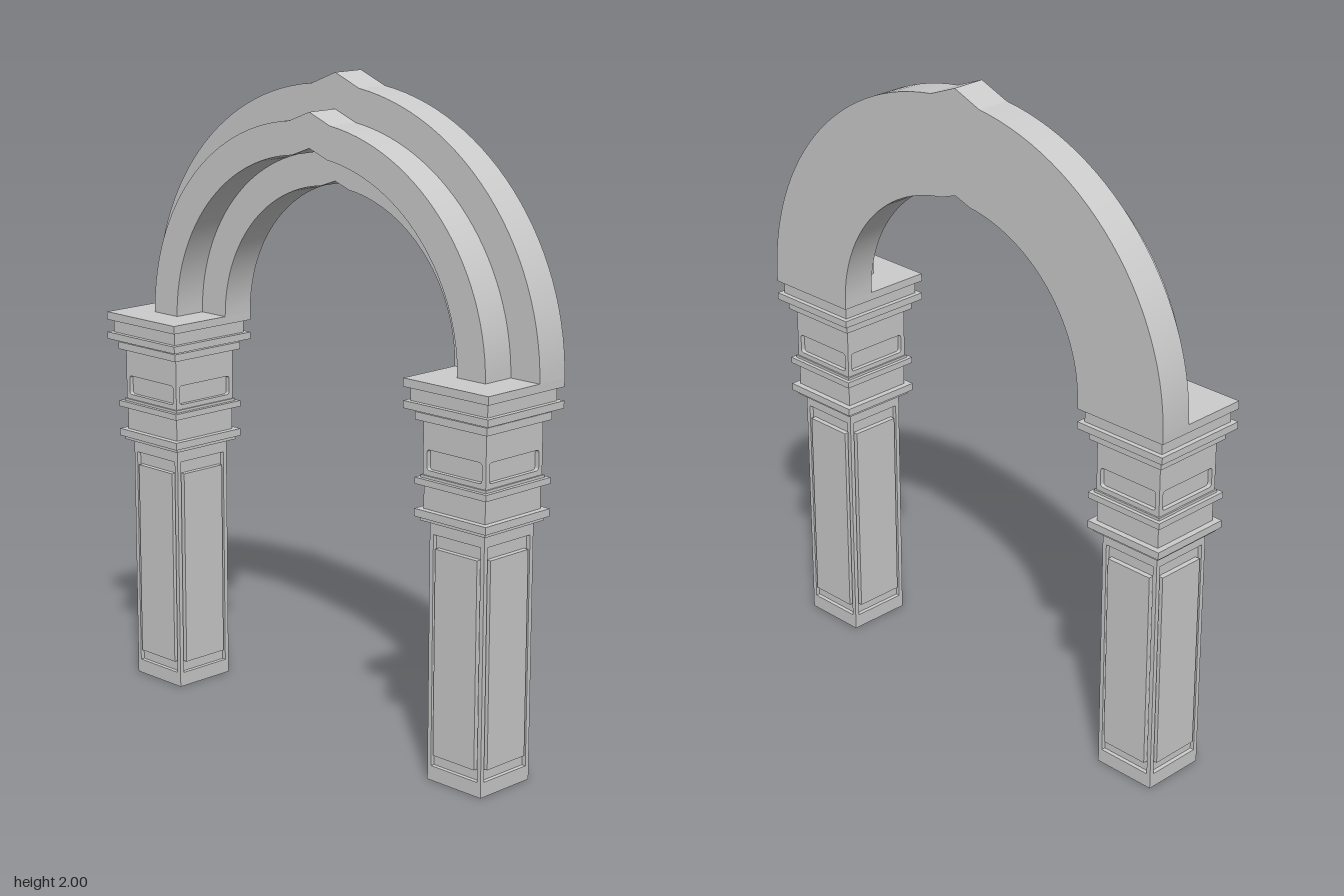
import * as THREE from 'three';
import { toCreasedNormals } from 'three/addons/utils/BufferGeometryUtils.js';

const material = new THREE.MeshStandardMaterial({ color: 0xcccccc });
const SPRING = 1.2; // height where the arch meets the capitals

function add(parent, name, geometry) {
  const mesh = new THREE.Mesh(geometry, material);
  mesh.name = name;
  parent.add(mesh);
  return mesh;
}

// Square block of half-width h between two heights
function block(parent, name, h, y0, y1) {
  add(parent, name, new THREE.BoxGeometry(2 * h, y1 - y0, 2 * h)).position.y = (y0 + y1) / 2;
}

// Closed rectangle, optionally with cut-off rounded corners
function rect(path, w, y0, y1, r = 0) {
  path.moveTo(-w + r, y0);
  path.lineTo(w - r, y0);
  if (r) path.quadraticCurveTo(w, y0, w, y0 + r);
  path.lineTo(w, y1 - r);
  if (r) path.quadraticCurveTo(w, y1, w - r, y1);
  path.lineTo(-w + r, y1);
  if (r) path.quadraticCurveTo(-w, y1, -w, y1 - r);
  path.lineTo(-w, y0 + r);
  if (r) path.quadraticCurveTo(-w, y0, -w + r, y0);
  return path;
}

// Square section whose four faces each carry a sunken window
function framedSection(parent, name, h, depth, y0, y1, hole) {
  block(parent, name + 'Core', h - depth, y0, y1);
  for (let i = 0; i < 4; i++) {
    const w = i % 2 ? h - depth : h;
    const shape = rect(new THREE.Shape(), w, y0, y1);
    shape.holes.push(rect(new THREE.Path(), ...hole));
    const geo = new THREE.ExtrudeGeometry(shape, { depth, bevelEnabled: false, curveSegments: 4 });
    geo.translate(0, 0, h - depth);
    geo.rotateY(i * Math.PI / 2);
    add(parent, name + 'Frame', geo);
  }
}

function createPillar(name) {
  const pillar = new THREE.Group();
  pillar.name = name;

  // Shaft with a raised panel inside each sunken frame
  framedSection(pillar, 'shaft', 0.104, 0.013, 0, 0.785, [0.09, 0.045, 0.745]);
  for (let i = 0; i < 4; i++) {
    const geo = new THREE.BoxGeometry(0.16, 0.625, 0.03);
    geo.translate(0, 0.3925, 0.092);
    geo.rotateY(i * Math.PI / 2);
    add(pillar, 'shaftPanel', geo);
  }

  // Stepped mouldings: half-width, bottom, top
  const steps = [
    ['lowerMoulding', 0.124, 0.785, 0.797],
    ['lowerMoulding', 0.136, 0.797, 0.82],
    ['neck', 0.117, 0.82, 0.893],
    ['middleMoulding', 0.136, 0.893, 0.912],
    ['middleMoulding', 0.124, 0.912, 0.92],
    ['upperMoulding', 0.136, 1.08, 1.103],
    ['upperMoulding', 0.125, 1.103, 1.113],
    ['capitalLedge', 0.16, 1.113, 1.135],
    ['capitalNeck', 0.145, 1.135, 1.175],
    ['capitalTop', 0.16, 1.175, SPRING],
  ];
  for (const step of steps) block(pillar, ...step);

  // Upper block with small sunken windows
  framedSection(pillar, 'upperBlock', 0.119, 0.014, 0.92, 1.08, [0.104, 0.935, 0.995, 0.01]);
  return pillar;
}

// Half ellipse that kicks up to a point at the crown, from +x to -x
function archCurve(a) {
  const right = [];
  const n = 28;
  for (let i = 0; i <= n; i++) {
    const t = (i / n) * THREE.MathUtils.degToRad(83);
    right.push(new THREE.Vector2(a * Math.cos(t), SPRING + a * 0.95 * Math.sin(t)));
  }
  const left = right.map((p) => new THREE.Vector2(-p.x, p.y)).reverse();
  return [...right, new THREE.Vector2(0, SPRING + a - 0.007), ...left];
}

function archBand(parent, name, outer, inner, z0, z1) {
  const shape = new THREE.Shape([...archCurve(outer), ...archCurve(inner).reverse()]);
  const geo = new THREE.ExtrudeGeometry(shape, { depth: z1 - z0, bevelEnabled: false });
  geo.translate(0, 0, z0);
  add(parent, name, toCreasedNormals(geo, 0.2));
}

export function createModel() {
  const model = new THREE.Group();
  model.name = 'archway';

  for (const side of [1, -1]) {
    const pillar = createPillar(side > 0 ? 'leftPillar' : 'rightPillar');
    pillar.position.x = side * 0.647;
    model.add(pillar);
  }

  // Wide band at the back, narrow band in front of it
  archBand(model, 'backArch', 0.807, 0.487, -0.16, -0.053);
  archBand(model, 'frontArch', 0.7, 0.594, -0.053, 0.053);
  return model;
}
